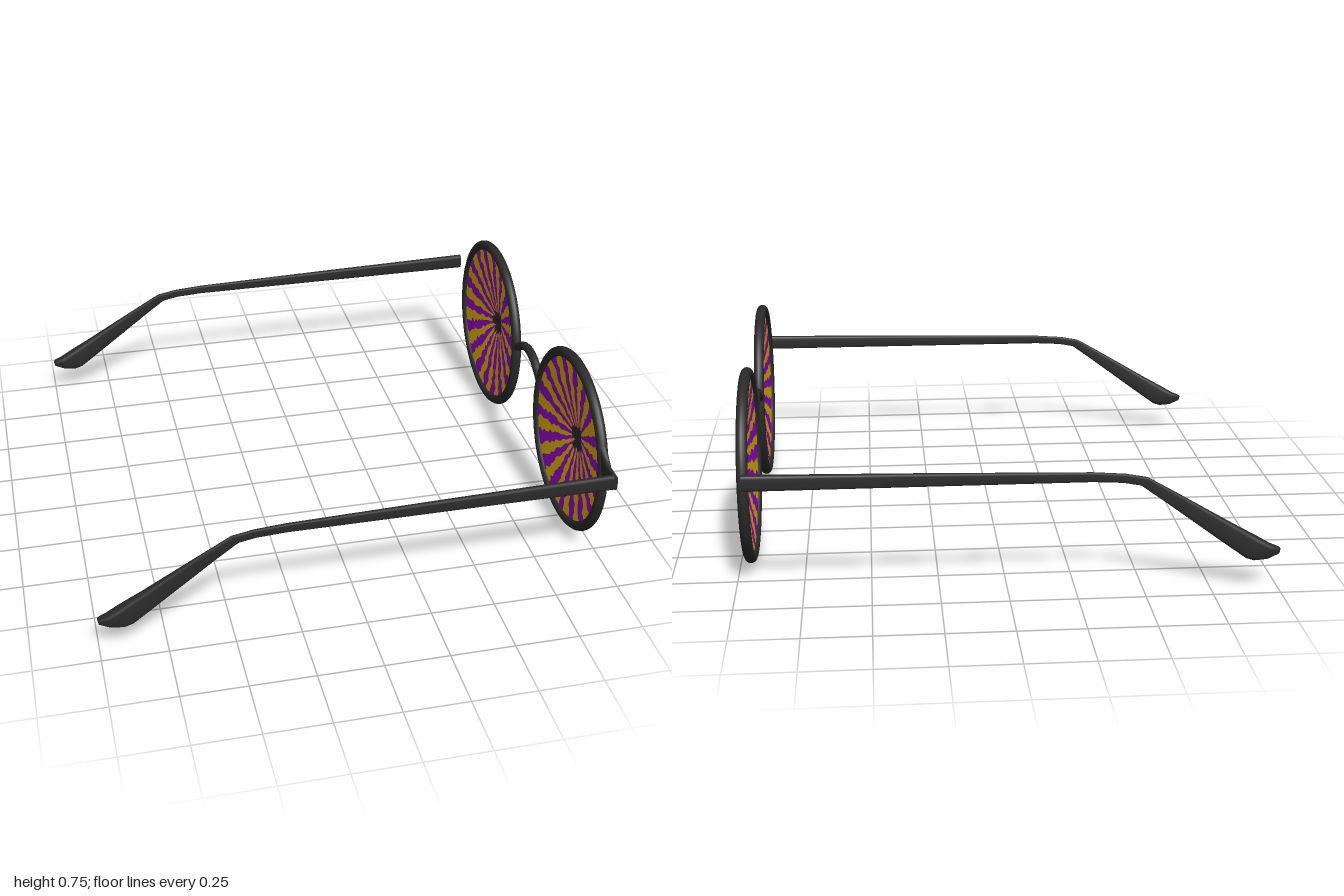
import * as THREE from 'three';

const frameMat = new THREE.MeshStandardMaterial({ color: 0x2a2a2a });
frameMat.name = 'charcoal frame';
const yellowMat = new THREE.MeshStandardMaterial({ color: 0xdeb004, side: THREE.DoubleSide });
yellowMat.name = 'mustard yellow';
const purpleMat = new THREE.MeshStandardMaterial({ color: 0x9404c6, side: THREE.DoubleSide });
purpleMat.name = 'purple';
const darkMat = new THREE.MeshStandardMaterial({ color: 0x2a2a2a, side: THREE.DoubleSide });
darkMat.name = 'charcoal lens centre';

const RIM_X = 0.956, LENS_Y = 0.377, LENS_Z = 0.5;

function addMesh(parent, name, geometry, material) {
  const mesh = new THREE.Mesh(geometry, material);
  mesh.name = name;
  parent.add(mesh);
  return mesh;
}

// Skin a list of closed rings (equal point counts), with flat end caps
function loft(rings) {
  const n = rings[0].length, pos = rings.flat(2), idx = [];
  for (let i = 0; i < rings.length - 1; i++) {
    for (let j = 0; j < n; j++) {
      const a = i * n + j, b = i * n + (j + 1) % n;
      idx.push(a, b, a + n, b, b + n, a + n);
    }
  }
  [rings[0], rings[rings.length - 1]].forEach((ring, e) => {
    const base = pos.length / 3;
    pos.push(...ring.flat());
    for (let j = 1; j < n - 1; j++) {
      if (e) idx.push(base, base + j, base + j + 1);
      else idx.push(base, base + j + 1, base + j);
    }
  });
  const g = new THREE.BufferGeometry();
  g.setAttribute('position', new THREE.Float32BufferAttribute(pos, 3));
  g.setIndex(idx);
  g.computeVertexNormals();
  return g;
}

// Rounded box outline as unit pairs
function roundedSection(n = 16) {
  const soft = (v) => Math.sign(v) * Math.pow(Math.abs(v), 0.5);
  return Array.from({ length: n }, (_, j) => {
    const a = (j / n) * Math.PI * 2;
    return [soft(Math.cos(a)), soft(Math.sin(a))];
  });
}

// Temple arm: top x, top y, bottom x, bottom y, half width
function templeGeometry() {
  const sections = [
    [0.95, 0.5, 0.95, 0.44, 0.014],
    [0.3, 0.489, 0.3, 0.44, 0.01],
    [-0.3, 0.476, -0.3, 0.44, 0.007],
    [-0.42, 0.467, -0.41, 0.434, 0.007],
    [-0.5, 0.452, -0.475, 0.422, 0.007],
    [-0.58, 0.406, -0.555, 0.364, 0.008],
    [-0.83, 0.257, -0.79, 0.188, 0.018],
    [-0.92, 0.205, -0.87, 0.13, 0.024],
    [-0.965, 0.178, -0.9, 0.12, 0.023],
    [-0.99, 0.168, -0.95, 0.123, 0.018],
    [-1, 0.163, -0.995, 0.141, 0.01],
  ];
  return loft(sections.map(([tx, ty, bx, by, w]) => roundedSection().map(([u, v]) => [
    (tx + bx) / 2 + v * (tx - bx) / 2,
    (ty + by) / 2 + v * (ty - by) / 2,
    u * w,
  ])));
}

// Flared end piece joining rim to arm: z, centre y, half height, half depth
function endPieceGeometry() {
  const sections = [
    [0.83, 0.475, 0.075, 0.015],
    [0.865, 0.474, 0.048, 0.013],
    [0.9, 0.471, 0.029, 0.009],
    [0.969, 0.47, 0.029, 0.008],
  ];
  return loft(sections.map(([z, y, h, d]) => roundedSection().map(([u, v]) => [
    RIM_X + u * d, y + v * h, z,
  ])));
}

// Shallow pointed lens with wavy radial stripes and a ragged dark centre
function lensGeometry(seed) {
  let s = seed;
  const rand = () => (s = (s * 16807) % 2147483647) / 2147483647;
  const stripes = 36, rings = 16, rMax = 0.338;
  const depth = (r) => 1 - 0.185 * r + 0.1 * r * r;
  const pos = [depth(0), 0, 0];
  const faces = [[], [], []];
  const inner = Array.from({ length: stripes }, () => 0.035 + 0.035 * rand());
  for (let i = 0; i <= rings; i++) {
    for (let j = 0; j < stripes; j++) {
      const r = inner[j] + (rMax - inner[j]) * i / rings;
      const a = (j - 0.5 + (rand() - 0.5) * 0.5) / stripes * Math.PI * 2;
      pos.push(depth(r), r * Math.cos(a), r * Math.sin(a));
    }
  }
  const at = (i, j) => 1 + i * stripes + j % stripes;
  for (let j = 0; j < stripes; j++) {
    faces[2].push(0, at(0, j), at(0, j + 1));
    for (let i = 0; i < rings; i++) {
      faces[j % 2].push(at(i, j), at(i + 1, j), at(i, j + 1),
        at(i, j + 1), at(i + 1, j), at(i + 1, j + 1));
    }
  }
  const g = new THREE.BufferGeometry();
  g.setAttribute('position', new THREE.Float32BufferAttribute(pos, 3));
  g.setIndex(faces.flat());
  let start = 0;
  faces.forEach((f, m) => {
    g.addGroup(start, f.length, m);
    start += f.length;
  });
  g.computeVertexNormals();
  return g;
}

export function createModel() {
  const model = new THREE.Group();
  model.name = 'roundGlasses';

  for (const side of [1, -1]) {
    const label = side > 0 ? 'PlusZ' : 'MinusZ';

    const rim = addMesh(model, 'rim' + label, new THREE.TorusGeometry(0.353, 0.021, 14, 72), frameMat);
    rim.rotation.y = Math.PI / 2;
    rim.position.set(RIM_X, LENS_Y, side * LENS_Z);

    const lens = addMesh(model, 'lens' + label, lensGeometry(side > 0 ? 71 : 977), [purpleMat, yellowMat, darkMat]);
    lens.position.set(0, LENS_Y, side * LENS_Z);

    const temple = addMesh(model, 'temple' + label, templeGeometry(), frameMat);
    temple.position.z = side * 0.956;
  }

  // Only one arm is attached to its rim
  addMesh(model, 'endPiece', endPieceGeometry(), frameMat);

  // Arched nose bridge
  const arch = new THREE.CatmullRomCurve3([
    [0.16, 0.435], [0.11, 0.468], [0.06, 0.496], [0, 0.507],
    [-0.06, 0.496], [-0.11, 0.468], [-0.16, 0.435],
  ].map(([z, y]) => new THREE.Vector3(RIM_X, y, z)));
  addMesh(model, 'bridge', new THREE.TubeGeometry(arch, 32, 0.018, 12), frameMat);

  return model;
}
